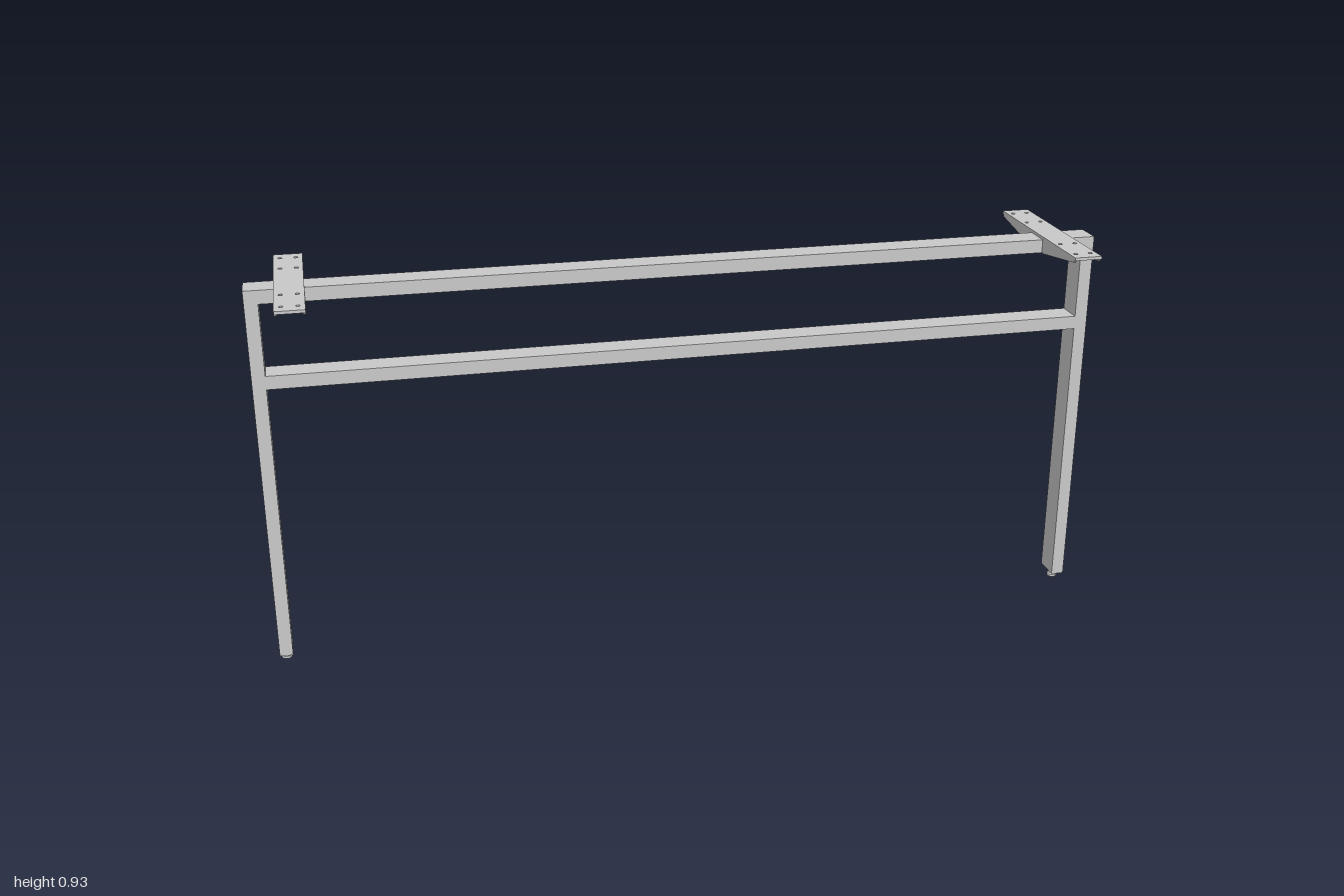
import * as THREE from 'three';

const mat = new THREE.MeshStandardMaterial({ color: 0xcccccc, flatShading: true });
const thinMat = new THREE.MeshStandardMaterial({ color: 0xcccccc, flatShading: true, side: THREE.DoubleSide });

const DEPTH = 0.066;      // tube depth along z
const TUBE = 0.031;       // tube width
const TOP = 0.927;        // top of the frame
const PLATE_TOP = 0.934;  // top of the brackets
const BRACKET_W = 0.066;
const SHEET = 0.006;

function add(parent, name, geometry, x = 0, y = 0, z = 0, material = mat) {
  const mesh = new THREE.Mesh(geometry, material);
  mesh.name = name;
  mesh.position.set(x, y, z);
  parent.add(mesh);
  return mesh;
}

// Channel bracket: drilled top plate with two tapering flanges on each side of the beam
function makeBracket() {
  const bracket = new THREE.Group();
  const w = BRACKET_W / 2;
  const plate = new THREE.Shape([
    new THREE.Vector2(-w, -0.216), new THREE.Vector2(w, -0.216),
    new THREE.Vector2(w, 0.216), new THREE.Vector2(-w, 0.216),
  ]);
  for (const z of [-0.185, -0.1, 0.1, 0.185]) {
    for (const x of [-0.018, 0.018]) {
      const hole = new THREE.Path();
      hole.absarc(x, z, 0.005, 0, Math.PI * 2, true);
      plate.holes.push(hole);
    }
  }
  const plateGeo = new THREE.ExtrudeGeometry(plate, { depth: PLATE_TOP - TOP, bevelEnabled: false, curveSegments: 6 });
  plateGeo.rotateX(-Math.PI / 2);
  add(bracket, 'bracketPlate', plateGeo, 0, TOP, 0, thinMat);

  for (const side of [-1, 1]) {
    const wing = new THREE.Shape([
      [0.033, 0.893], [0.208, 0.921], [0.216, PLATE_TOP - 0.001], [0.033, PLATE_TOP - 0.001],
    ].map(([z, y]) => new THREE.Vector2(z * side, y)));
    const wingGeo = new THREE.ExtrudeGeometry(wing, { depth: SHEET, bevelEnabled: false });
    wingGeo.translate(0, 0, -SHEET / 2);
    wingGeo.rotateY(-Math.PI / 2);
    for (const edge of [-1, 1]) {
      add(bracket, 'bracketFlange', wingGeo, edge * (w - SHEET / 2), 0, 0, thinMat);
    }
  }
  return bracket;
}

export function createModel() {
  const model = new THREE.Group();
  model.name = 'tableFrame';

  // Horizontal beams between the legs
  const beamGeo = new THREE.BoxGeometry(2 - 2 * TUBE, 0.032, DEPTH);
  add(model, 'topBeam', beamGeo, 0, TOP - 0.016, 0);
  add(model, 'lowerBeam', beamGeo, 0, 0.711, 0);

  const legGeo = new THREE.BoxGeometry(TUBE, TOP - 0.02, DEPTH);
  const stemGeo = new THREE.CylinderGeometry(0.004, 0.004, 0.014, 12);
  // Levelling pad with a chamfered upper edge
  const padGeo = new THREE.LatheGeometry(
    [[0, 0], [0.012, 0], [0.012, 0.006], [0.009, 0.009], [0, 0.009]].map(([r, y]) => new THREE.Vector2(r, y)), 16);

  for (const side of [-1, 1]) {
    const name = side > 0 ? 'left' : 'right';
    const x = side * (1 - TUBE / 2);
    add(model, name + 'Leg', legGeo, x, (TOP + 0.02) / 2, 0);
    add(model, name + 'FootStem', stemGeo, x, 0.014, 0);
    add(model, name + 'FootPad', padGeo, x, 0, 0);

    const bracket = makeBracket();
    bracket.name = name + 'Bracket';
    bracket.position.x = side * 0.9;
    model.add(bracket);
  }
  return model;
}
